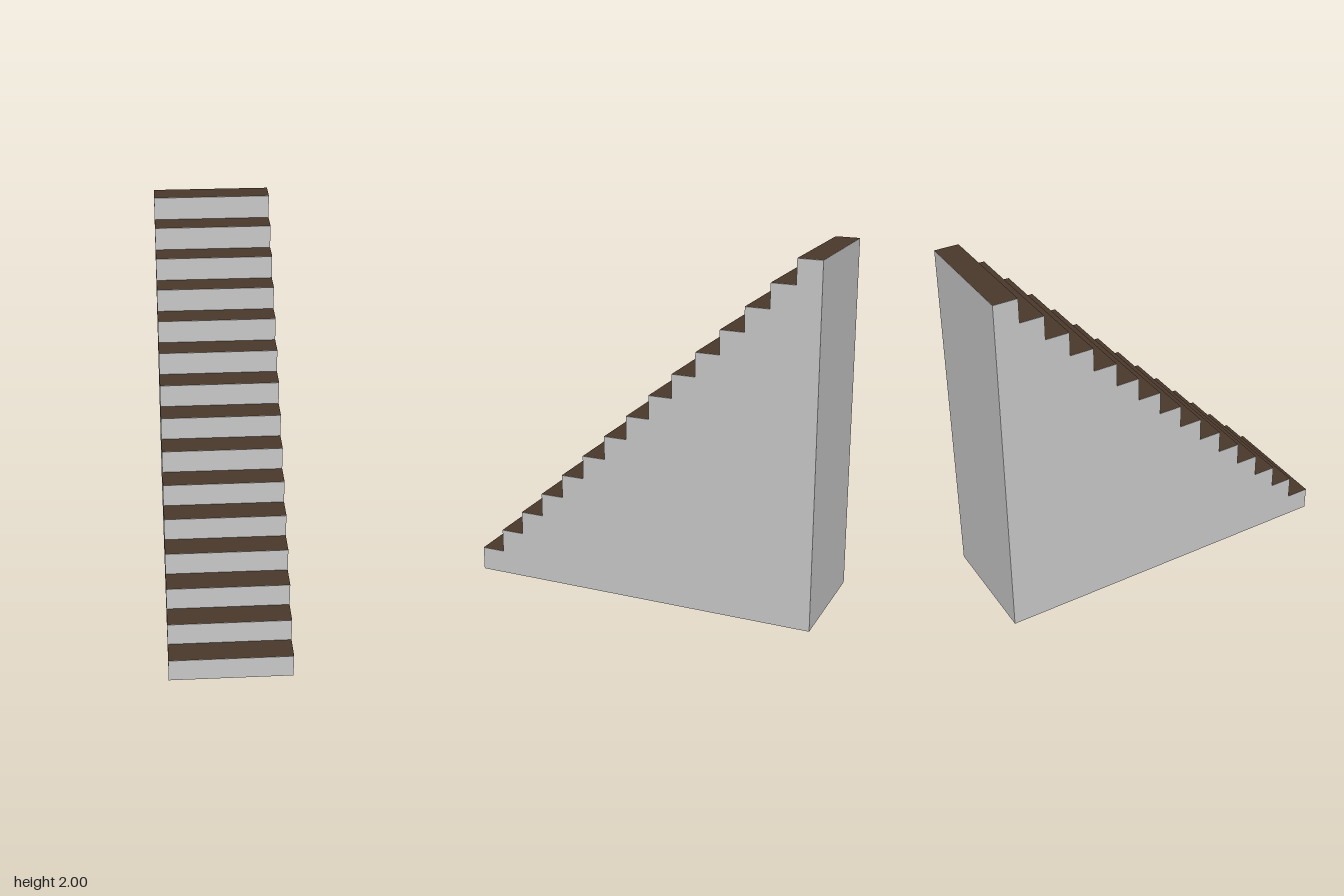
import * as THREE from 'three';

const STEPS = 15;
const SIZE = 2;
const WIDTH = 2 / 3;
const STEP = SIZE / STEPS; // rise and run are equal

export function createModel() {
  const stone = new THREE.MeshStandardMaterial({ color: 0xc8c8c8 });
  stone.name = 'light grey';
  const wood = new THREE.MeshStandardMaterial({ color: 0x4a382b });
  wood.name = 'dark brown';

  const group = new THREE.Group();
  group.name = 'staircase';

  // Solid body: stepped side profile (shape x = model z), extruded across the width
  const profile = new THREE.Shape();
  profile.moveTo(-1, 0);
  profile.lineTo(1, 0);
  for (let i = 0; i < STEPS; i++) {
    const y = (i + 1) * STEP;
    profile.lineTo(1 - i * STEP, y);
    profile.lineTo(1 - (i + 1) * STEP, y);
  }
  profile.closePath();
  const bodyGeometry = new THREE.ExtrudeGeometry(profile, { depth: WIDTH, bevelEnabled: false });
  bodyGeometry.translate(0, 0, -WIDTH / 2).rotateY(-Math.PI / 2);
  const body = new THREE.Mesh(bodyGeometry, stone);
  body.name = 'staircaseBody';
  group.add(body);

  // Treads: one painted face on top of each step
  const treadGeometry = new THREE.PlaneGeometry(WIDTH, STEP).rotateX(-Math.PI / 2);
  for (let i = 0; i < STEPS; i++) {
    const tread = new THREE.Mesh(treadGeometry, wood);
    tread.name = `tread${i + 1}`;
    tread.position.set(0, (i + 1) * STEP + 0.001, 1 - (i + 0.5) * STEP);
    group.add(tread);
  }

  return group;
}
